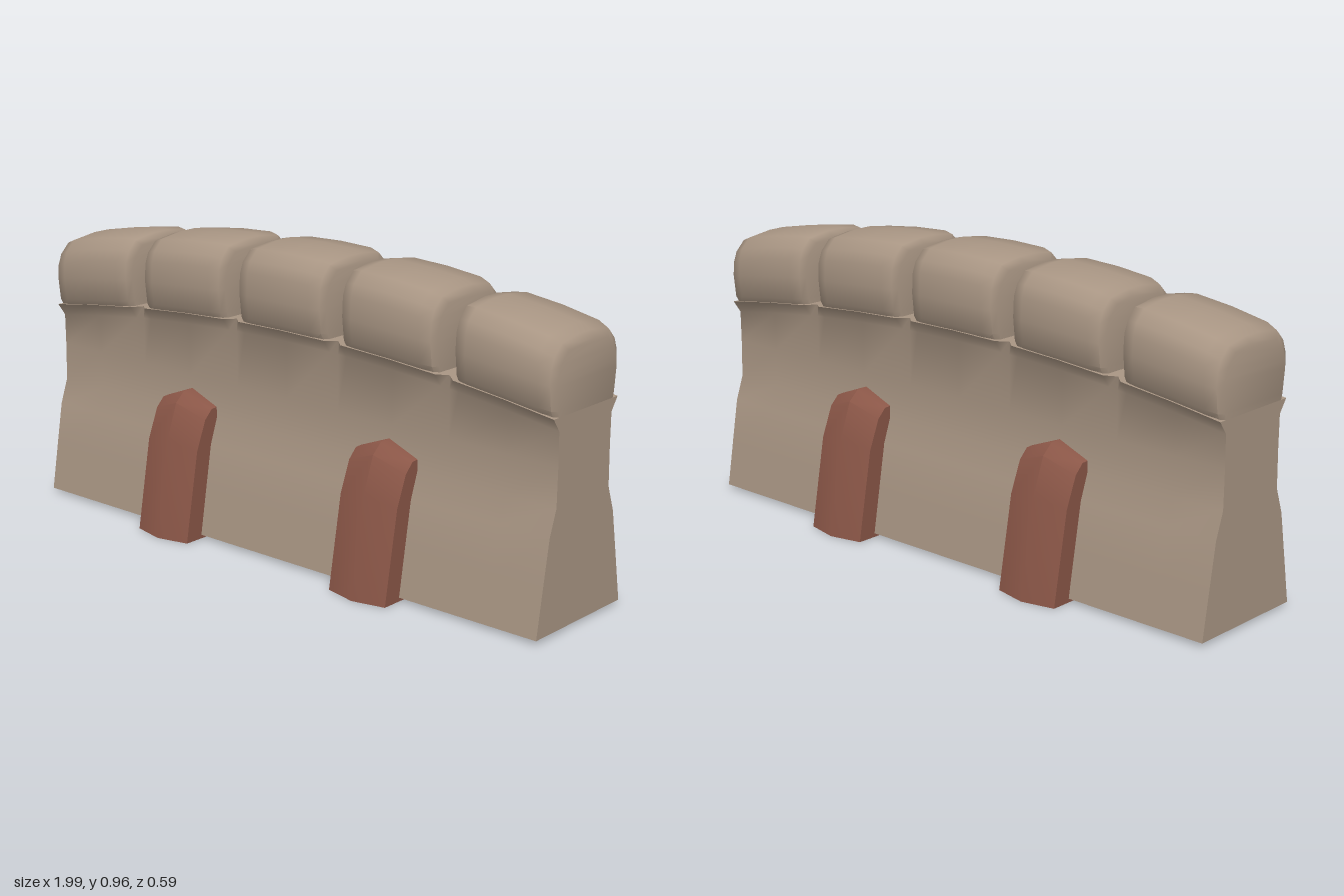
import * as THREE from 'three';
import { toCreasedNormals } from 'three/addons/utils/BufferGeometryUtils.js';

// Skin a row of mirrored [z, y] cross-sections along x, with capped ends and an open underside
function loft(xs, halves, crease) {
  const pos = [], index = [];
  const n = halves[0].length * 2;
  xs.forEach((x, i) => {
    const half = halves[i];
    const loop = [...half, ...half.slice().reverse().map(([z, y]) => [-z, y])];
    loop.forEach(([z, y]) => pos.push(x, y, z));
  });
  for (let i = 0; i < xs.length - 1; i++) {
    for (let j = 0; j < n - 1; j++) {
      const a = i * n + j, b = a + n;
      index.push(a, b, b + 1, a, b + 1, a + 1);
    }
  }
  const last = (xs.length - 1) * n;
  for (let j = 0; j < n / 2 - 1; j++) {
    const a = j, b = j + 1, c = n - 2 - j, d = n - 1 - j;
    index.push(a, b, c, a, c, d);
    index.push(last + a, last + c, last + b, last + a, last + d, last + c);
  }
  const g = new THREE.BufferGeometry();
  g.setAttribute('position', new THREE.Float32BufferAttribute(pos, 3));
  g.setIndex(index);
  return toCreasedNormals(g, crease);
}

const wallTop = (x) => 0.72 - 0.08 * x * x;
const stoneTop = (x) => 0.962 - 0.1 * x * x;

// Left and right ends of the five capstones
const stones = [[-0.995, -0.65], [-0.585, -0.24], [-0.175, 0.17], [0.235, 0.585], [0.65, 0.995]];

// Battered wall that flares out under each capstone
function wallGeometry() {
  const xs = [], halves = [];
  const column = (x, flare) => {
    const t = wallTop(x);
    xs.push(x);
    halves.push([
      [0.205, 0.012], [0.18, 0.16], [0.156, 0.3], [0.128, 0.38], [0.126, 0.5],
      [0.127, t - 0.04], [flare, t], [0.06, t],
    ]);
  };
  stones.forEach(([x0, x1], i) => {
    column(x0, 0.155);
    column((x0 + x1) / 2, 0.155);
    column(x1, 0.155);
    if (i < stones.length - 1) column((x1 + stones[i + 1][0]) / 2, 0.126);
  });
  return loft(xs, halves, 0.95);
}

// Rounded capstone following the arched top line
function stoneGeometry(x0, x1) {
  const w = x1 - x0;
  const xs = [x0, x0 + 0.012, x0 + 0.05, x0 + w / 2, x1 - 0.05, x1 - 0.012, x1];
  const inset = [0.028, 0.01, 0.002, 0, 0.002, 0.01, 0.028];
  const halves = xs.map((x, i) => {
    const b = wallTop(x), t = stoneTop(x) - inset[i], d = inset[i];
    return [
      [0.14 - d * 0.5, b - 0.012], [0.163 - d, b + 0.018], [0.171 - d, b + 0.09],
      [0.168 - d, t - 0.08], [0.155 - d, t - 0.045], [0.122 - d, t - 0.012], [0.03, t],
    ];
  });
  return loft(xs, halves, 0.95);
}

// Ridged buttress passing through the wall to both faces
function buttressGeometry() {
  const edge = [[0.27, 0], [0.218, 0.29], [0.18, 0.385], [0.15, 0.415], [0.1, 0.418]];
  const ridge = [[0.294, 0], [0.242, 0.31], [0.2, 0.425], [0.165, 0.456], [0.1, 0.46]];
  return loft([-0.107, 0, 0.107], [edge, ridge, edge], 0.75);
}

export function createModel() {
  const group = new THREE.Group();
  group.name = 'wallSegment';

  const stone = new THREE.MeshStandardMaterial({ color: 0xa89583, side: THREE.DoubleSide });
  stone.name = 'sandstone';
  const brick = new THREE.MeshStandardMaterial({ color: 0x8a5647, side: THREE.DoubleSide });
  brick.name = 'brickRed';

  const add = (name, geometry, material, x = 0) => {
    const mesh = new THREE.Mesh(geometry, material);
    mesh.name = name;
    mesh.position.x = x;
    group.add(mesh);
  };

  add('wallBody', wallGeometry(), stone);
  stones.forEach(([x0, x1], i) => add(`capstone${i + 1}`, stoneGeometry(x0, x1), stone));

  const buttress = buttressGeometry();
  add('rightButtress', buttress, brick, -0.405);
  add('leftButtress', buttress, brick, 0.4);

  return group;
}
